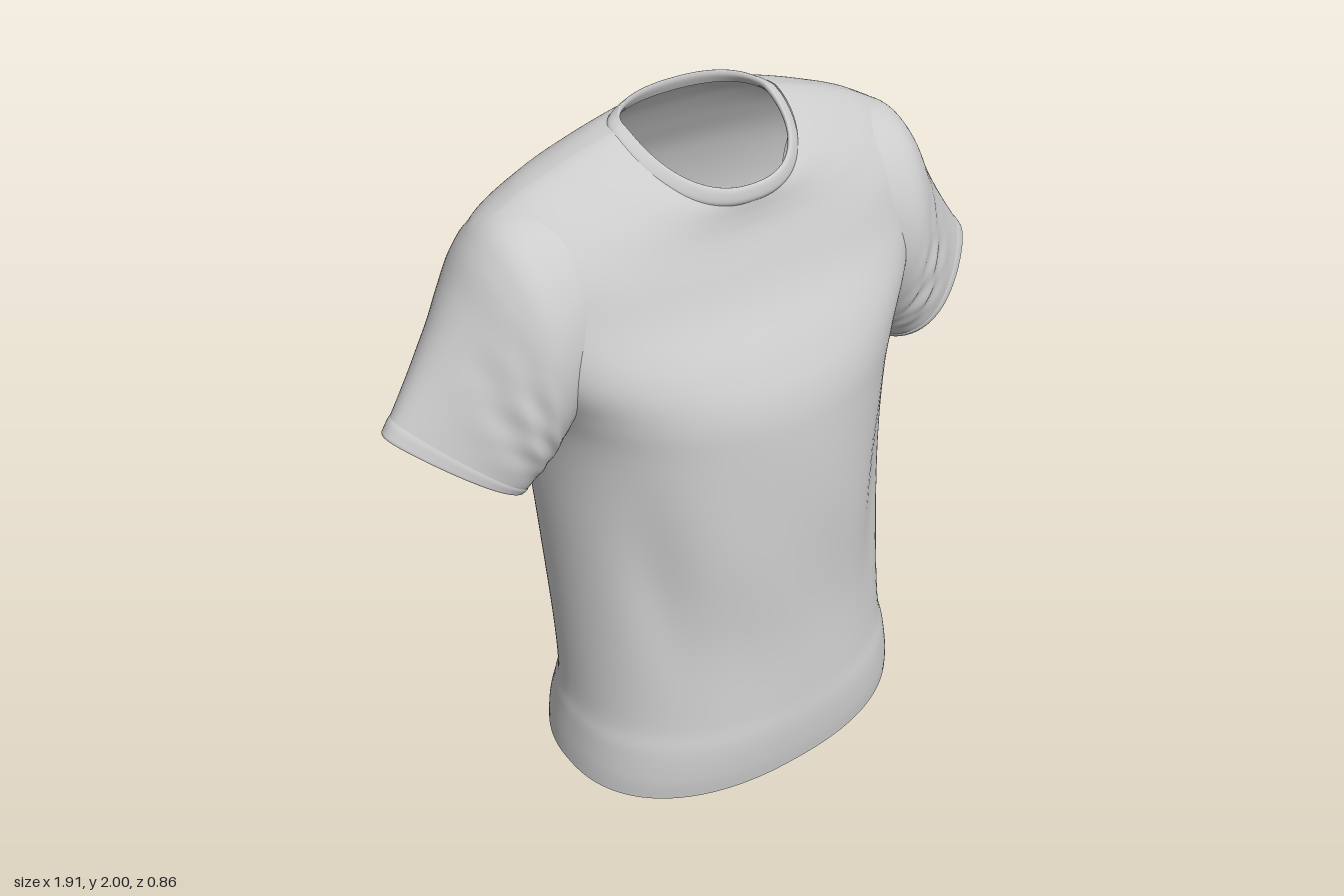
import * as THREE from 'three';

const fabric = new THREE.MeshStandardMaterial({ color: 0xcccccc, side: THREE.DoubleSide });
fabric.name = 'greyFabric';

// Smooth interpolation through a list of equally long key rows, u in 0..1
function sampleKeys(keys, u) {
  const n = keys.length - 1;
  const f = Math.min(u * n, n - 1e-6);
  const i = Math.floor(f), t = f - i;
  const k = (j) => keys[Math.max(0, Math.min(n, j))];
  return keys[i].map((b, c) => {
    const a = k(i - 1)[c], d = k(i + 1)[c], e = k(i + 2)[c];
    return b + 0.5 * t * (d - a + t * (2 * a - 5 * b + 4 * d - e + t * (3 * (b - d) + e - a)));
  });
}

// Closed-ring surface: point(angle, u) gives [x, y, z]; skip() leaves openings
function loft(name, rows, segs, point, skip = () => false) {
  const pos = [], index = [];
  for (let i = 0; i <= rows; i++)
    for (let j = 0; j < segs; j++) pos.push(...point((j / segs) * Math.PI * 2, i / rows));
  for (let i = 0; i < rows; i++)
    for (let j = 0; j < segs; j++) {
      const a = i * segs + j, b = i * segs + ((j + 1) % segs), c = a + segs, d = b + segs;
      if (skip(pos[a * 3], pos[a * 3 + 1])) continue;
      index.push(a, b, c, b, d, c);
    }
  const geo = new THREE.BufferGeometry();
  geo.setAttribute('position', new THREE.Float32BufferAttribute(pos, 3));
  geo.setIndex(index);
  geo.computeVertexNormals();
  const mesh = new THREE.Mesh(geo, fabric);
  mesh.name = name;
  return mesh;
}

const spow = (v, p) => Math.sign(v) * Math.pow(Math.abs(v), p);
const bump = (v, centre, width) => Math.exp(-(((v - centre) / width) ** 2));

// Torso rings: front y, side y, back y, half width, front z, back z, side z,
// front roundness, back roundness
const torsoKeys = [
  [0.015, 0.035, 0.0, 0.57, 0.42, -0.425, 0.03, 2.3, 2.05],
  [0.09, 0.1, 0.08, 0.563, 0.428, -0.422, 0.03, 2.3, 2.05],
  [0.19, 0.2, 0.18, 0.548, 0.43, -0.39, 0.025, 2.25, 2.0],
  [0.3, 0.3, 0.28, 0.533, 0.42, -0.37, 0.015, 2.15, 1.95],
  [0.55, 0.55, 0.55, 0.53, 0.402, -0.395, 0, 2.05, 2.0],
  [0.9, 0.9, 0.9, 0.532, 0.4, -0.42, -0.03, 2.05, 2.25],
  [1.18, 1.18, 1.2, 0.532, 0.385, -0.428, -0.06, 2.2, 2.6],
  [1.31, 1.32, 1.4, 0.56, 0.365, -0.426, -0.065, 2.3, 2.65],
  [1.42, 1.47, 1.55, 0.63, 0.318, -0.418, -0.07, 2.3, 2.5],
  [1.55, 1.64, 1.69, 0.685, 0.242, -0.384, -0.08, 2.25, 2.3],
  [1.65, 1.775, 1.79, 0.66, 0.2, -0.335, -0.085, 2.25, 2.2],
  [1.72, 1.86, 1.87, 0.54, 0.175, -0.288, -0.085, 2.3, 2.2],
  [1.76, 1.908, 1.92, 0.42, 0.167, -0.252, -0.08, 2.3, 2.3],
  [1.79, 1.94, 1.955, 0.32, 0.165, -0.224, -0.08, 2.3, 2.3],
  [1.805, 1.957, 1.972, 0.25, 0.165, -0.208, -0.08, 2.3, 2.3],
];

function ringPoint([yF, yS, yB, w, zF, zB, zS, eF, eB], a, bend) {
  const front = Math.cos(a) > 0;
  const e = front ? eF : eB;
  const s = spow(Math.sin(a), 2 / e), c = spow(Math.cos(a), 2 / e);
  const y = yS + ((front ? yF : yB) - yS) * Math.pow(Math.abs(c), bend);
  return [w * s, y, zS + c * (front ? zF - zS : zS - zB)];
}

function torsoPoint(a, u) {
  const p = ringPoint(sampleKeys(torsoKeys, u), a, 1.25);
  const [x, y] = p;
  // Soft drape: long hollows below the armpits and slanting folds on the back
  const c = Math.cos(a);
  const hollow = 0.022 * bump(Math.abs(x), 0.4 - 0.08 * (1 - y), 0.07) * bump(y, 0.8, 0.28);
  const fold = 0.006 * Math.sin(14 * x + 9 * y) * bump(y, 0.75, 0.5) * (c < 0 ? 1 : 0.4);
  p[2] -= Math.sign(c) * (hollow + fold * Math.abs(c));
  return p;
}

// Collar band: up the outside, over the edge and down the inside
const collarKeys = [
  [1.798, 1.952, 1.968, 0.252, 0.166, -0.21, -0.08, 2.3, 2.3],
  [1.81, 1.96, 1.98, 0.243, 0.172, -0.206, -0.08, 2.3, 2.3],
  [1.835, 1.966, 1.994, 0.227, 0.17, -0.196, -0.08, 2.3, 2.3],
  [1.845, 1.968, 2.0, 0.217, 0.163, -0.19, -0.08, 2.3, 2.3],
  [1.835, 1.955, 1.985, 0.215, 0.155, -0.189, -0.08, 2.3, 2.3],
  [1.8, 1.935, 1.96, 0.235, 0.155, -0.2, -0.08, 2.3, 2.3],
];

// Sleeve rings: top x, top y, bottom x, bottom y, half depth, centre z, taper to the top
const sleeveKeys = [
  [0.47, 1.855, 0.46, 1.27, 0.235, -0.08, 0.08],
  [0.6, 1.828, 0.505, 1.22, 0.25, -0.08, 0.1],
  [0.67, 1.765, 0.525, 1.19, 0.25, -0.082, 0.13],
  [0.73, 1.665, 0.543, 1.165, 0.238, -0.083, 0.18],
  [0.79, 1.57, 0.56, 1.14, 0.218, -0.08, 0.25],
  [0.855, 1.475, 0.582, 1.12, 0.196, -0.077, 0.32],
  [0.92, 1.385, 0.605, 1.095, 0.172, -0.073, 0.4],
  [0.957, 1.333, 0.62, 1.082, 0.16, -0.072, 0.42],
];

function sleevePoint(a, u, side, grow = 0) {
  const [tx, ty, bx, by, hz, cz, taper] = sampleKeys(sleeveKeys, u);
  const t = a * side, c = Math.cos(t), s = Math.sin(t);
  // Cloth creases fan out from the armpit and fade at the shoulder and cuff
  const fade = bump(u, 0.55, 0.2) * (1 - 0.5 * c);
  const crease = 1 + grow + fade * Math.abs(s) * (0.025 * Math.sin(26 * u + 5 * c) + 0.01 * Math.sin(41 * u - 7 * c));
  const k = c * (1 + grow) * 0.5;
  return [
    side * ((tx + bx) / 2 + (tx - bx) * k),
    (ty + by) / 2 + (ty - by) * k,
    cz + s * hz * crease * (1 - taper * c),
  ];
}

export function createModel() {
  const shirt = new THREE.Group();
  shirt.name = 'shirt';

  // Body, left open where the sleeves join
  const inArmhole = (x, y) => Math.abs(x) > 0.58 && y > 1.3 && y < 1.68;
  shirt.add(loft('torso', 112, 144, torsoPoint, inArmhole));
  shirt.add(loft('collar', 20, 96, (a, u) => ringPoint(sampleKeys(collarKeys, u), a, 1.15)));

  for (const side of [1, -1]) {
    const arm = new THREE.Group();
    arm.name = side > 0 ? 'leftSleeve' : 'rightSleeve';
    arm.add(loft('sleeve', 56, 72, (a, u) => sleevePoint(a, u, side)));
    // Stitched cuff, slightly proud of the sleeve
    arm.add(loft('cuff', 8, 72, (a, u) =>
      sleevePoint(a, 0.88 + 0.12 * u, side, 0.015 * Math.min(1, u * 6, (1 - u) * 8))));
    shirt.add(arm);
  }
  return shirt;
}
